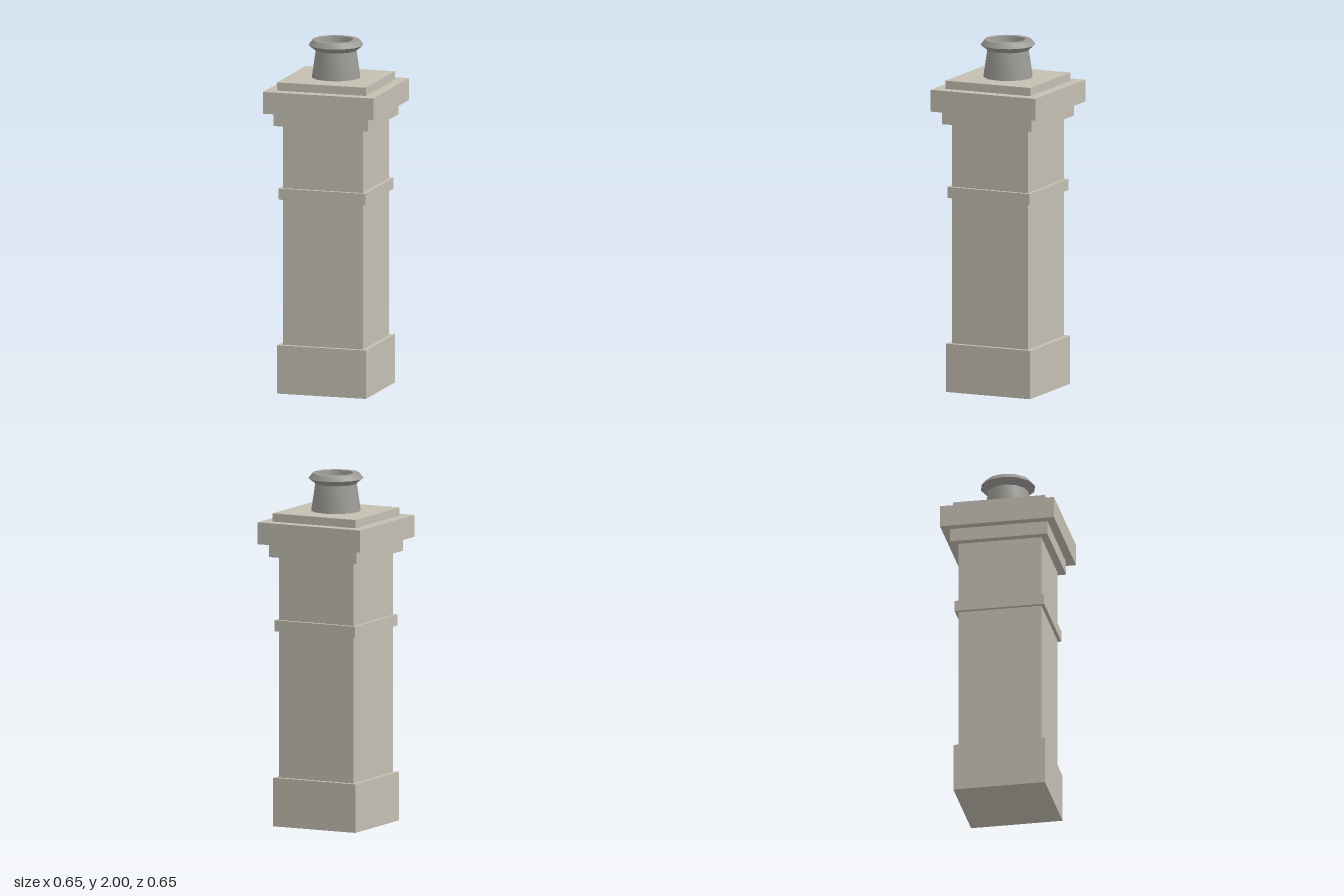
import * as THREE from 'three';
import { toCreasedNormals } from 'three/addons/utils/BufferGeometryUtils.js';

export function createModel() {
  const model = new THREE.Group();
  model.name = 'chimney';

  const stone = new THREE.MeshStandardMaterial({ color: 0xc4bfb2 });
  stone.name = 'stone';
  const clay = new THREE.MeshStandardMaterial({ color: 0x9c9a96 });
  clay.name = 'grey clay';

  // Square courses: name, width, bottom, top
  const courses = [
    ['plinth', 0.526, 0, 0.277],
    ['shaft', 0.474, 0.277, 1.537],
    ['bandCourse', 0.514, 1.112, 1.175],
    ['corbel', 0.56, 1.537, 1.613],
    ['capSlab', 0.654, 1.613, 1.738],
    ['capTop', 0.528, 1.738, 1.785],
  ];
  for (const [name, width, bottom, top] of courses) {
    const mesh = new THREE.Mesh(new THREE.BoxGeometry(width, top - bottom, width), stone);
    mesh.name = name;
    mesh.position.y = (bottom + top) / 2;
    model.add(mesh);
  }

  // Twelve-sided tapered pot with a flared rim and a recessed mouth
  const profile = [
    [0.14, 1.785], [0.117, 1.94], [0.156, 1.97], [0.133, 2],
    [0.098, 2], [0.09, 1.94], [0, 1.94],
  ].map(([r, y]) => new THREE.Vector2(r, y));
  const pot = new THREE.Mesh(toCreasedNormals(new THREE.LatheGeometry(profile, 12), 0.7), clay);
  pot.name = 'chimneyPot';
  model.add(pot);

  return model;
}
